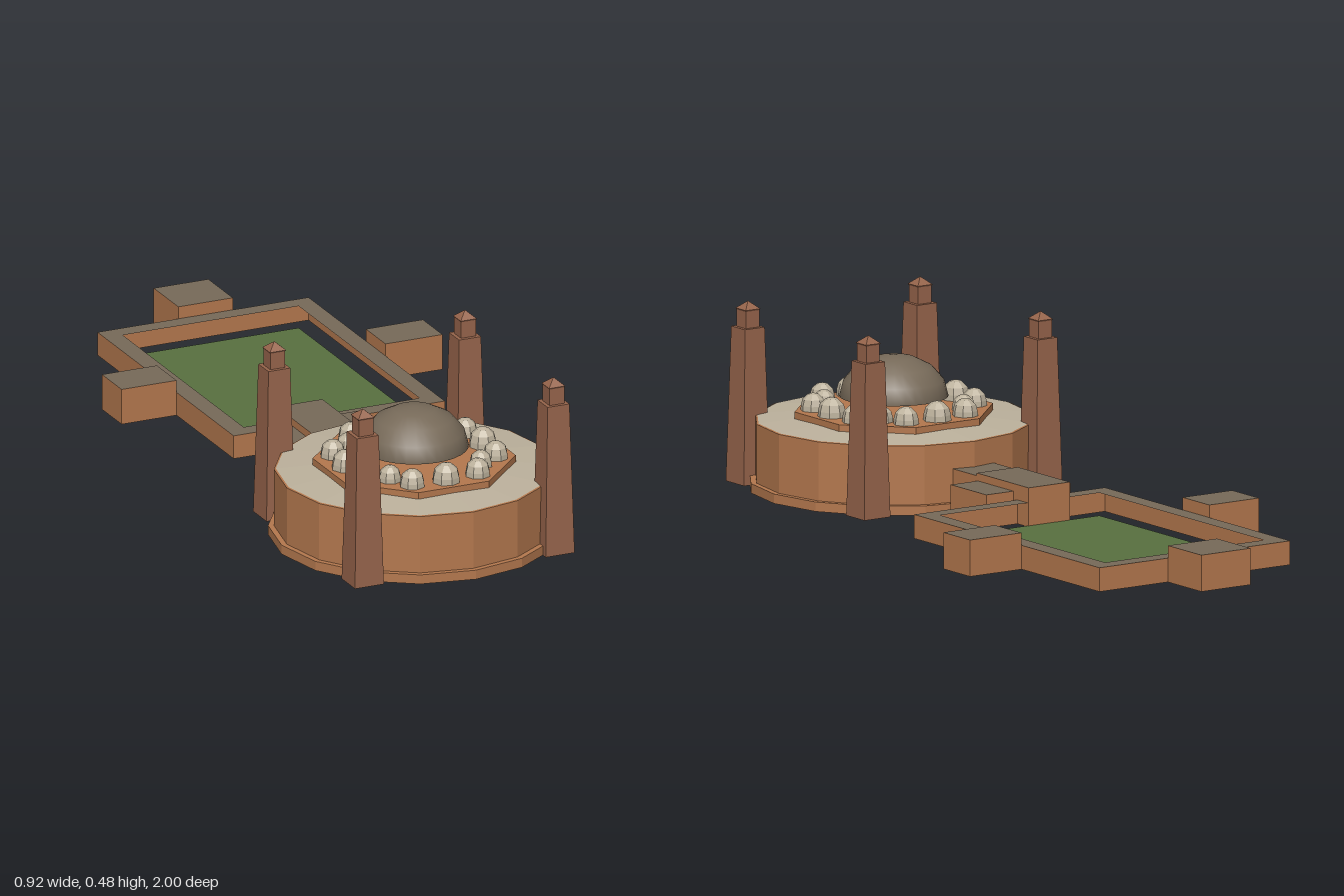
import * as THREE from 'three';

const mat = (name, color) => new THREE.MeshStandardMaterial({ name, color, side: THREE.DoubleSide });
const V = (x, y) => new THREE.Vector2(x, y);

export function createModel() {
  const model = new THREE.Group();
  model.name = 'domedHallWithCourtyard';
  const stone = mat('sandstone', 0xb4784e);
  const tower = mat('towerStone', 0x96644b);
  const pale = mat('paleStone', 0xbcb19c);
  const slate = mat('roofSlate', 0x776a59);
  const grass = mat('grass', 0x587040);

  const add = (parent, name, geo, material, x = 0, y = 0, z = 0) => {
    const m = new THREE.Mesh(geo, material);
    m.name = name;
    m.position.set(x, y, z);
    parent.add(m);
    return m;
  };

  // Faceted solid of revolution with flat faces
  const faceted = (profile, sides, turn = 0) => {
    const g = new THREE.LatheGeometry(profile.map(p => V(...p)), sides).toNonIndexed();
    g.rotateY(turn);
    g.computeVertexNormals();
    return g;
  };

  // Flat horizontal sheet facing up
  const sheet = (x0, x1, z0, z1) => {
    const g = new THREE.PlaneGeometry(x1 - x0, z1 - z0);
    g.rotateX(-Math.PI / 2);
    g.translate((x0 + x1) / 2, 0, (z0 + z1) / 2);
    return g;
  };

  // Four upright walls, open above and below
  const walls = (x0, x1, z0, z1, y0, y1) => {
    const g = new THREE.BoxGeometry(x1 - x0, y1 - y0, z1 - z0);
    const idx = Array.from(g.index.array);
    g.setIndex([...idx.slice(0, 12), ...idx.slice(24)]);
    g.clearGroups();
    g.translate((x0 + x1) / 2, (y0 + y1) / 2, (z0 + z1) / 2);
    return g;
  };

  // Main hall
  const hall = new THREE.Group();
  hall.name = 'hall';
  hall.position.set(-0.085, 0, 0.622);
  model.add(hall);
  add(hall, 'plinth', faceted([[0, 0], [0.377, 0], [0.377, 0.025], [0.355, 0.025]], 16), stone);
  add(hall, 'hallWall', faceted([[0.362, 0.025], [0.362, 0.18], [0.35, 0.182]], 16), stone);
  add(hall, 'hallRoof', faceted([[0.357, 0.1815], [0.24, 0.192], [0, 0.192]], 16), pale);
  add(hall, 'octagonTerrace', faceted([[0.262, 0.19], [0.262, 0.208], [0, 0.208]], 8, Math.PI / 8), stone);

  // Main dome, an open flattened hemisphere
  const domeGeo = new THREE.SphereGeometry(0.141, 32, 4, 0, Math.PI * 2, 0, Math.PI / 2);
  domeGeo.scale(1, 0.108 / 0.141, 1);
  add(hall, 'mainDome', domeGeo, slate, 0, 0.24, 0);

  // Ring of small domes, repeated on four sides with a smaller one at each corner
  const cupola = faceted([[0.037, 0], [0.036, 0.015], [0.031, 0.033], [0.016, 0.047], [0, 0.051]], 8);
  for (let i = 0; i < 4; i++) {
    const side = new THREE.Group();
    side.name = 'smallDomes' + (i + 1);
    side.rotation.y = i * Math.PI / 2;
    hall.add(side);
    for (const [x, z, s] of [[-0.093, 0.188, 0.9], [0, 0.195, 1], [0.093, 0.188, 0.9], [0.129, 0.129, 0.82]]) {
      add(side, 'smallDome', cupola, pale, x, 0.208, z).scale.setScalar(s);
    }
  }

  // Four square corner towers
  const r2 = Math.SQRT2;
  const towerGeo = faceted([[0.041, 0], [0.031, 0.408], [0.021, 0.408], [0.021, 0.452],
    [0.023, 0.456], [0, 0.476]].map(([r, y]) => [r * r2, y]), 4, Math.PI / 4);
  for (const x of [-0.271, 0.271]) {
    for (const z of [-0.272, 0.268]) add(hall, 'cornerTower', towerGeo, tower, x, 0, z);
  }

  // Courtyard: outer walls, a flat coping and the lawn
  const court = new THREE.Group();
  court.name = 'courtyard';
  model.add(court);
  const [cx0, cx1, cz0, cz1] = [-0.3, 0.3, -0.85, -0.018];
  add(court, 'courtyardWall', walls(cx0, cx1, cz0, cz1, 0.017, 0.08), stone);
  const rect = (s, x0, x1, z0, z1) => {
    s.moveTo(x0, -z0); s.lineTo(x1, -z0); s.lineTo(x1, -z1); s.lineTo(x0, -z1); s.closePath();
    return s;
  };
  const ring = rect(new THREE.Shape(), cx0, cx1, cz0, cz1);
  ring.holes.push(rect(new THREE.Path(), -0.25, 0.25, -0.803, -0.065));
  const coping = new THREE.ShapeGeometry(ring);
  coping.rotateX(-Math.PI / 2);
  add(court, 'wallCoping', coping, slate, 0, 0.08, 0);
  add(court, 'lawn', sheet(-0.25, 0.25, -0.803, -0.065), grass, 0, 0.02, 0);

  // Flat-roofed blocks, open underneath
  const blocks = [
    ['backGatehouse', -0.07, 0.085, -1, -0.85, 0.113],
    ['leftGatehouse', 0.3, 0.462, -0.5, -0.38, 0.113],
    ['rightGatehouse', -0.456, -0.3, -0.487, -0.367, 0.113],
    ['crossPassage', -0.205, 0.06, 0, 0.16, 0.1],
    ['passage', -0.155, -0.025, -0.068, 0.165, 0.12],
    ['passageEnd', -0.155, -0.025, 0.165, 0.275, 0.113],
  ];
  for (const [name, x0, x1, z0, z1, top] of blocks) {
    const block = new THREE.Group();
    block.name = name;
    model.add(block);
    add(block, name + 'Walls', walls(x0, x1, z0, z1, 0.017, top), stone);
    add(block, name + 'Roof', sheet(x0, x1, z0, z1), slate, 0, top, 0);
  }
  return model;
}
